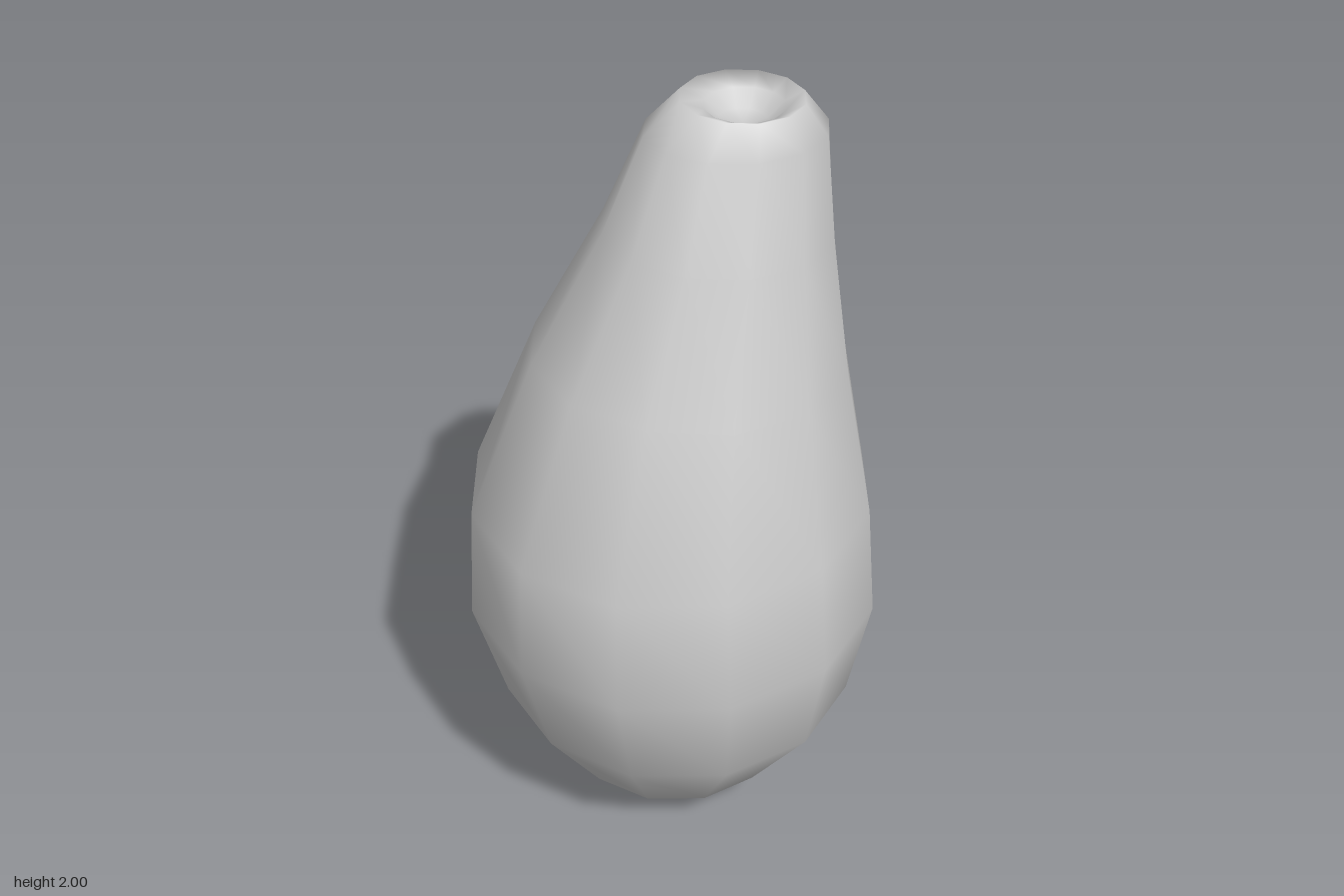
import * as THREE from 'three';

const SIDES = 12;

// Cross-sections from the base up: [left x, left y, right x, right y, z radius]
const RINGS = [
  [-0.145, 0.035, 0.16, 0.035, 0.15],
  [-0.28, 0.125, 0.29, 0.125, 0.285],
  [-0.445, 0.37, 0.465, 0.37, 0.455],
  [-0.525, 0.655, 0.52, 0.655, 0.52],
  [-0.51, 0.96, 0.495, 0.96, 0.5],
  [-0.345, 1.37, 0.43, 1.32, 0.365],
  [-0.17, 1.69, 0.385, 1.66, 0.25],
  [-0.07, 1.925, 0.365, 1.91, 0.17],
  [0.015, 2.0, 0.305, 1.99, 0.135], // lip
  [0.07, 1.975, 0.26, 1.97, 0.09], // dimple wall
  [0.105, 1.94, 0.22, 1.935, 0.055],
];
const BASE = [0.01, 0, 0];
const DIMPLE = [0.163, 1.925, 0];

// Smooth closed skin over tilted elliptical rings, with a point at each end
function loftRings(rings, start, end) {
  const positions = [...start];
  for (const [lx, ly, rx, ry, rz] of rings) {
    for (let i = 0; i < SIDES; i++) {
      const a = (i / SIDES) * Math.PI * 2;
      const t = (1 + Math.cos(a)) / 2;
      positions.push(lx + (rx - lx) * t, ly + (ry - ly) * t, rz * Math.sin(a));
    }
  }
  positions.push(...end);

  const index = [];
  const at = (ring, i) => 1 + ring * SIDES + (i % SIDES);
  const last = rings.length - 1;
  const endPoint = 1 + rings.length * SIDES;
  for (let i = 0; i < SIDES; i++) {
    index.push(0, at(0, i), at(0, i + 1));
    for (let r = 0; r < last; r++) {
      const a = at(r, i), b = at(r, i + 1), c = at(r + 1, i + 1), d = at(r + 1, i);
      index.push(a, d, c, a, c, b);
    }
    index.push(at(last, i), endPoint, at(last, i + 1));
  }

  const geometry = new THREE.BufferGeometry();
  geometry.setAttribute('position', new THREE.Float32BufferAttribute(positions, 3));
  geometry.setIndex(index);
  geometry.computeVertexNormals();
  return geometry;
}

export function createModel() {
  const group = new THREE.Group();
  group.name = 'pearShapedFruit';

  // Fruit body with the neck leaning to +x and a dimple at the stem end
  const material = new THREE.MeshStandardMaterial({ color: 0xcccccc });
  const body = new THREE.Mesh(loftRings(RINGS, BASE, DIMPLE), material);
  body.name = 'fruitBody';
  group.add(body);
  return group;
}
